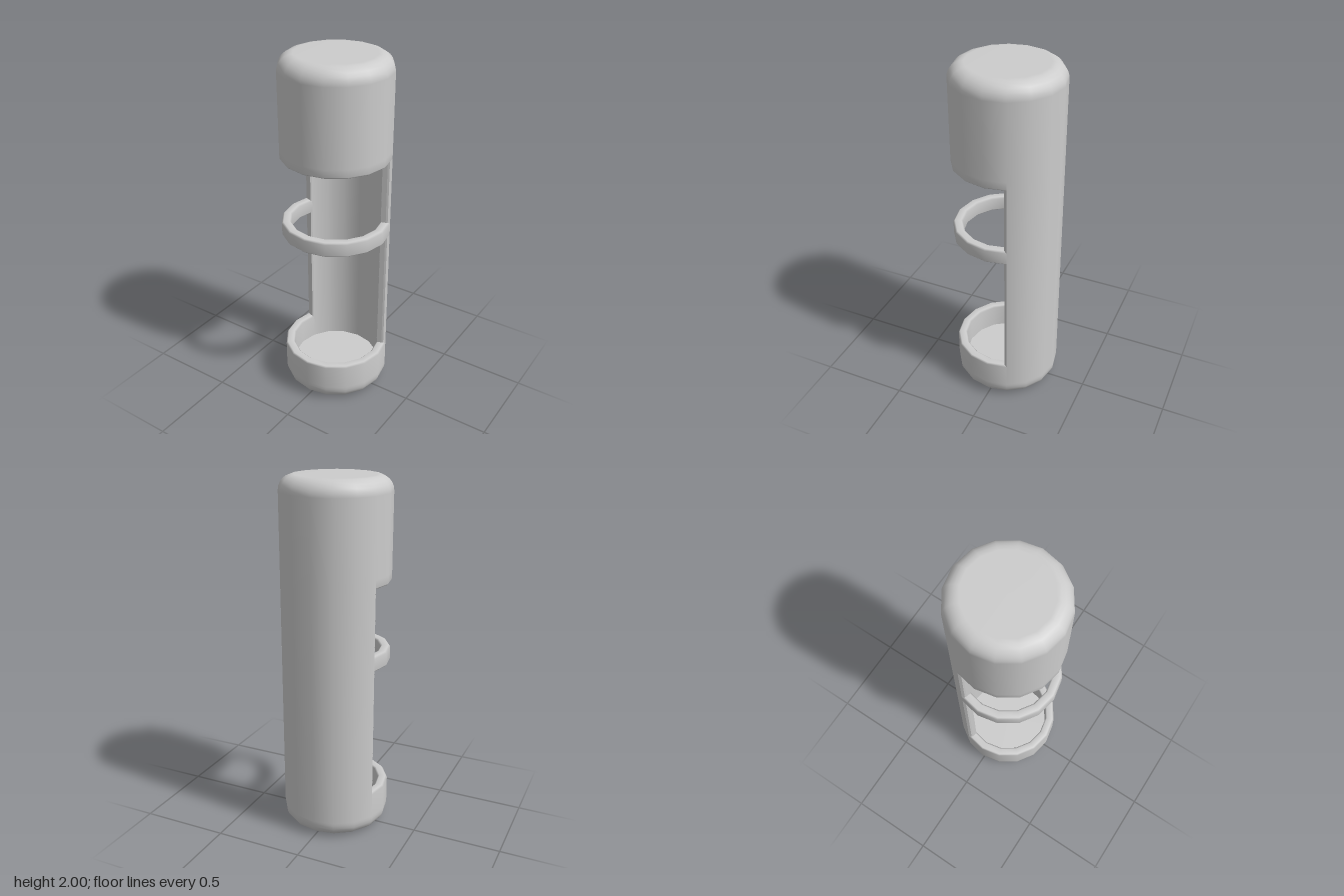
import * as THREE from 'three';

const RO = 0.303, RI = 0.25;              // outer and inner radius of the tube
const STEP = Math.PI / 8;                 // sixteen sides
const FLOOR = 0.1, CEILING = 1.49;        // solid ends below and above these
const LIP_LOW = 0.25, LIP_HIGH = 1.44;    // window limits
const ROUND = 0.085;                      // rounding of the closed ends

const grey = new THREE.MeshStandardMaterial({ color: 0xcccccc });
grey.name = 'light grey';

function part(name, geometry) {
  const mesh = new THREE.Mesh(geometry, grey);
  mesh.name = name;
  return mesh;
}

// Lathe over a number of sides; a repeated profile point makes a hard edge.
function turned(name, profile, firstSide = 0, sides = 16) {
  const points = profile.map(([r, y]) => new THREE.Vector2(r, y));
  const geometry = new THREE.LatheGeometry(points, sides, firstSide * STEP, sides * STEP);
  geometry.normalizeNormals();
  return part(name, geometry);
}

// Quarter round between the flat end and the side of the body.
function quarterRound(yAt) {
  const steps = 6, points = [];
  for (let i = 0; i <= steps; i++) {
    const a = (i / steps) * Math.PI / 2;
    points.push([RO - ROUND + ROUND * Math.sin(a), yAt(ROUND * (1 - Math.cos(a)))]);
  }
  return points;
}

// Band across the open front, bevelled where its edges are exposed.
function frontBand(name, y0, y1, low, high) {
  return turned(name, [
    [RI + low, y0], [RO - low, y0], [RO, y0 + low], [RO, y1 - high],
    [RO - high, y1], [RI + high, y1], [RI, y1 - high], [RI, y0 + low], [RI + low, y0],
  ], -5, 10);
}

// Bevelled upright strip that closes the cut edge of the back wall.
function windowEdge(name, side) {
  const corners = [[0.28, 0.116], [0.274, 0.1], [0.264, 0.095], [0.237, 0.088], [0.231, 0.096]];
  const shape = new THREE.Shape(corners.map(([x, back]) => new THREE.Vector2(side * x, back)));
  const geometry = new THREE.ExtrudeGeometry(shape, {
    depth: LIP_HIGH - LIP_LOW + 0.02, bevelEnabled: false,
  });
  geometry.rotateX(-Math.PI / 2);
  geometry.translate(0, LIP_LOW - 0.01, 0);
  return part(name, geometry);
}

export function createModel() {
  const model = new THREE.Group();
  model.name = 'windowed tube';

  // Closed ends
  model.add(turned('base', [
    [0, 0], ...quarterRound((h) => h), [RO, FLOOR], [RO, FLOOR], [0, FLOOR],
  ]));
  model.add(turned('cap', [
    [0, CEILING], [RO, CEILING], [RO, CEILING],
    ...quarterRound((h) => 2 - h).reverse(), [0, 2],
  ]));

  // Back wall, outside and inside
  model.add(turned('backWallOutside', [[RO, FLOOR], [RO, CEILING]], 5, 6));
  model.add(turned('backWallInside', [[RI, CEILING], [RI, FLOOR]], 5, 6));
  model.add(windowEdge('leftWindowEdge', 1), windowEdge('rightWindowEdge', -1));

  // Front bands around the two windows
  model.add(frontBand('lowerLip', FLOOR, LIP_LOW, 0, 0.009));
  model.add(frontBand('middleRing', 0.985, 1.07, 0.009, 0.009));
  model.add(frontBand('upperLip', LIP_HIGH, CEILING, 0.009, 0));

  return model;
}
